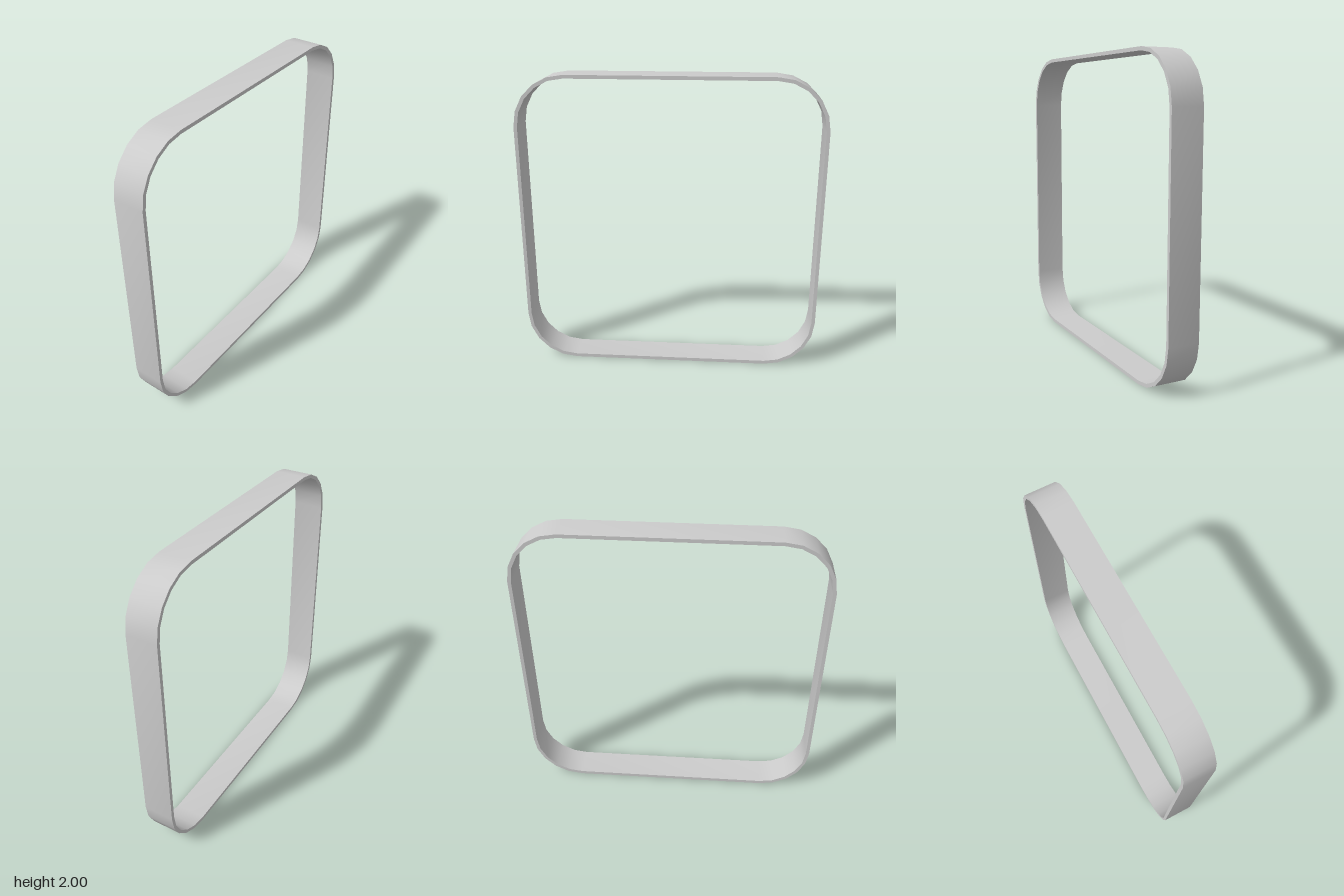
import * as THREE from 'three';
import { toCreasedNormals } from 'three/addons/utils/BufferGeometryUtils.js';

const HALF = 1, RADIUS = 0.335, WALL = 0.023, DEPTH = 0.204, STEPS = 5;

// Rounded square outline, counter-clockwise, with faceted corner arcs
function roundedSquare(half, radius) {
  const points = [];
  const c = half - radius;
  [[1, 1], [-1, 1], [-1, -1], [1, -1]].forEach(([sx, sy], corner) => {
    for (let i = 0; i <= STEPS; i++) {
      const a = (corner + i / STEPS) * Math.PI / 2;
      points.push(new THREE.Vector2(sx * c + radius * Math.cos(a), sy * c + radius * Math.sin(a)));
    }
  });
  return points;
}

export function createModel() {
  const group = new THREE.Group();
  group.name = 'roundedSquareFrame';

  // Thin band: outer outline with a concentric opening
  const shape = new THREE.Shape(roundedSquare(HALF, RADIUS));
  shape.holes.push(new THREE.Path(roundedSquare(HALF - WALL, RADIUS - WALL)));
  const extruded = new THREE.ExtrudeGeometry(shape, { depth: DEPTH, bevelEnabled: false });
  extruded.translate(0, HALF, -DEPTH / 2);

  // Smooth around the corners, sharp at the front and back rims
  const band = new THREE.Mesh(
    toCreasedNormals(extruded, Math.PI / 6),
    new THREE.MeshStandardMaterial({ color: 0xcccccc })
  );
  band.name = 'frameBand';
  group.add(band);
  return group;
}
